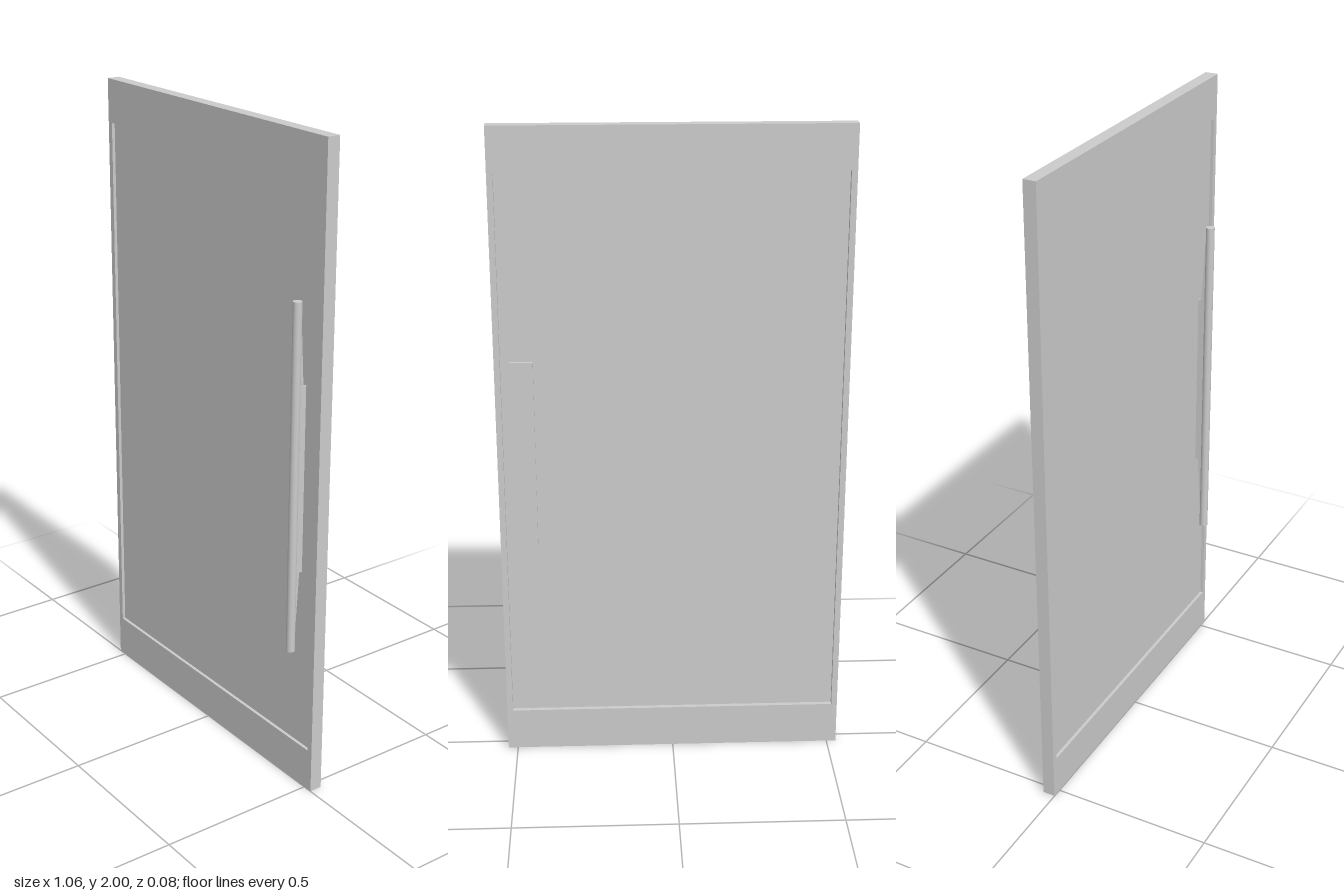
import * as THREE from 'three';

export function createModel() {
  const group = new THREE.Group();
  group.name = 'slidingDoor';
  const material = new THREE.MeshStandardMaterial({ color: 0xcccccc });

  const add = (name, geometry, x = 0, y = 0, z = 0) => {
    const mesh = new THREE.Mesh(geometry, material);
    mesh.name = name;
    mesh.position.set(x, y, z);
    group.add(mesh);
  };
  const rectangle = (Type, w, y0, y1) => new Type([
    new THREE.Vector2(-w, y0), new THREE.Vector2(w, y0),
    new THREE.Vector2(w, y1), new THREE.Vector2(-w, y1),
  ]);

  const halfWidth = 0.53, depth = 0.04, stile = 0.018, rail = 0.135;
  const handleX = 0.45, panelFront = -0.01, panelBack = -0.025;

  // Frame: narrow stiles, tall top and bottom rails
  const frame = rectangle(THREE.Shape, halfWidth, 0, 2);
  frame.holes.push(rectangle(THREE.Path, halfWidth - stile, rail, 2 - rail));
  add('frame', new THREE.ExtrudeGeometry(frame, { depth, bevelEnabled: false }), 0, 0, -depth);

  // Recessed panel filling the opening
  add('panel', new THREE.BoxGeometry(2 * (halfWidth - stile), 2 - 2 * rail, panelFront - panelBack),
    0, 1, (panelFront + panelBack) / 2);

  // Round pull bar on the front
  add('handleBar', new THREE.CylinderGeometry(0.0135, 0.0135, 1.08, 32), handleX, 1, 0.0255);

  // Thin web joining the bar to the panel, flaring towards the bar (drawn as depth by height)
  const web = new THREE.Shape([
    [panelFront, -0.29], [0, -0.29], [0.0135, -0.53], [0.02, -0.53],
    [0.02, 0.53], [0.0135, 0.53], [0, 0.29], [panelFront, 0.29],
  ].map(([z, y]) => new THREE.Vector2(-z, y)));
  const thickness = 0.004;
  const webGeometry = new THREE.ExtrudeGeometry(web, { depth: thickness, bevelEnabled: false });
  webGeometry.translate(0, 0, -thickness / 2).rotateY(Math.PI / 2);
  add('handleWeb', webGeometry, handleX, 1, 0);

  // Flat pull plate on the back of the panel
  add('backPlate', new THREE.BoxGeometry(0.07, 0.6, 0.01), handleX, 1, panelBack - 0.005);

  return group;
}
